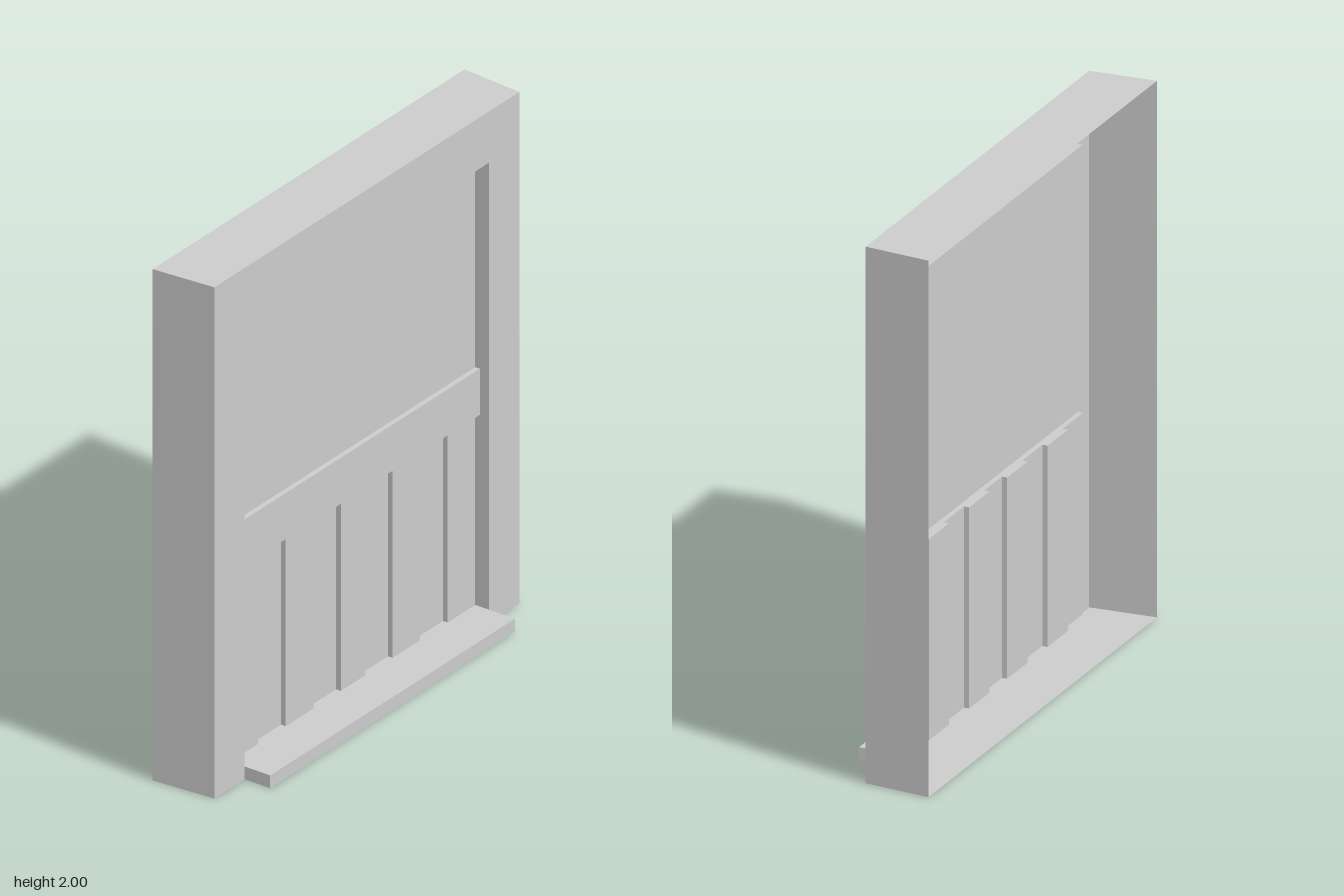
import * as THREE from 'three';

const material = new THREE.MeshStandardMaterial({ color: 0xcccccc, side: THREE.DoubleSide, flatShading: true });

// Main dimensions
const H = 2, FRONT = 0.07, BACK = -0.18, XF = 0.885, XB = 0.905;
const OPEN = 0.71, SILL = 0.05, RAIL = 0.8, GLASS = 0.98, HEAD = 1.8;
const Z_GLASS = 0.01, Z_RAIL = 0.03, Z_RECESS = -0.01;

// Flat sheet with corners given in order
function sheet(corners) {
  const g = new THREE.BufferGeometry();
  g.setAttribute('position', new THREE.Float32BufferAttribute(corners.flat(), 3));
  g.setIndex([0, 1, 2, 0, 2, 3]);
  g.computeVertexNormals();
  return g;
}

// Horizontal sheet at height y from an outline of [x, z] points
function shelf(outline, y) {
  const shape = new THREE.Shape(outline.map(([x, z]) => new THREE.Vector2(x, -z)));
  return new THREE.ShapeGeometry(shape).rotateX(-Math.PI / 2).translate(0, y, 0);
}

// Upright sheet over the line between two [x, z] points
function wall([xa, za], [xb, zb], y0, y1) {
  return sheet([[xa, y0, za], [xb, y0, zb], [xb, y1, zb], [xa, y1, za]]);
}

export function createModel() {
  const model = new THREE.Group();
  const add = (name, geometry, parent = model) => {
    const mesh = new THREE.Mesh(geometry, material);
    mesh.name = name;
    parent.add(mesh);
  };
  const group = (name) => {
    const g = new THREE.Group();
    g.name = name;
    model.add(g);
    return g;
  };

  // Outer casing, flared towards its open back
  const casing = group('casing');
  for (const s of [1, -1]) {
    add('sideWall', wall([s * XF, FRONT], [s * XB, BACK], 0, H), casing);
  }
  const plan = [[-XF, FRONT], [XF, FRONT], [XB, BACK], [-XB, BACK]];
  add('topWall', shelf(plan, H), casing);
  add('bottomWall', shelf(plan, 0), casing);

  // Front face around the opening
  const face = [[-XF, 0], [-OPEN, 0], [-OPEN, HEAD], [OPEN, HEAD], [OPEN, 0], [XF, 0], [XF, H], [-XF, H]];
  const faceShape = new THREE.Shape(face.map(([x, y]) => new THREE.Vector2(x, y)));
  add('frontFace', new THREE.ShapeGeometry(faceShape).translate(0, 0, FRONT), casing);

  // Projecting sill
  const sill = new THREE.BoxGeometry(2 * OPEN, SILL, 0.18 - FRONT);
  add('sill', sill.translate(0, SILL / 2, (0.18 + FRONT) / 2));

  // Side reveals, as deep as the panel behind each stretch
  const reveal = group('reveal');
  for (const [y0, y1, z] of [[SILL, RAIL, Z_GLASS], [RAIL, GLASS, Z_RAIL], [GLASS, HEAD, Z_GLASS]]) {
    for (const s of [1, -1]) {
      add('sideReveal', wall([s * OPEN, FRONT], [s * OPEN, z], y0, y1), reveal);
    }
  }
  const strip = (z0, z1) => [[-OPEN, z0], [OPEN, z0], [OPEN, z1], [-OPEN, z1]];
  add('topReveal', shelf(strip(FRONT, Z_GLASS), HEAD), reveal);

  // Window pane and the rail below it
  add('pane', wall([-OPEN, Z_GLASS], [OPEN, Z_GLASS], GLASS, HEAD));
  add('rail', wall([-OPEN, Z_RAIL], [OPEN, Z_RAIL], RAIL, GLASS));
  add('railTop', shelf(strip(Z_RAIL, Z_GLASS), GLASS));

  // Lower panelling: nine boards, every second one set back
  const edges = [-0.71, -0.55, -0.39, -0.23, -0.07, 0.07, 0.23, 0.39, 0.55, 0.71];
  const profile = [];
  for (let i = 0; i < 9; i++) {
    const z = i % 2 ? Z_RECESS : Z_GLASS;
    profile.push([edges[i], z], [edges[i + 1], z]);
  }
  const boards = group('boards');
  for (let i = 0; i < profile.length - 1; i++) {
    add(i % 2 ? 'boardStep' : 'board', wall(profile[i], profile[i + 1], SILL, RAIL), boards);
  }
  add('boardsTop', shelf([...profile, [OPEN, Z_RAIL], [-OPEN, Z_RAIL]], RAIL), boards);
  add('boardsFloor', shelf([...profile, [OPEN, FRONT], [-OPEN, FRONT]], SILL), boards);

  return model;
}
